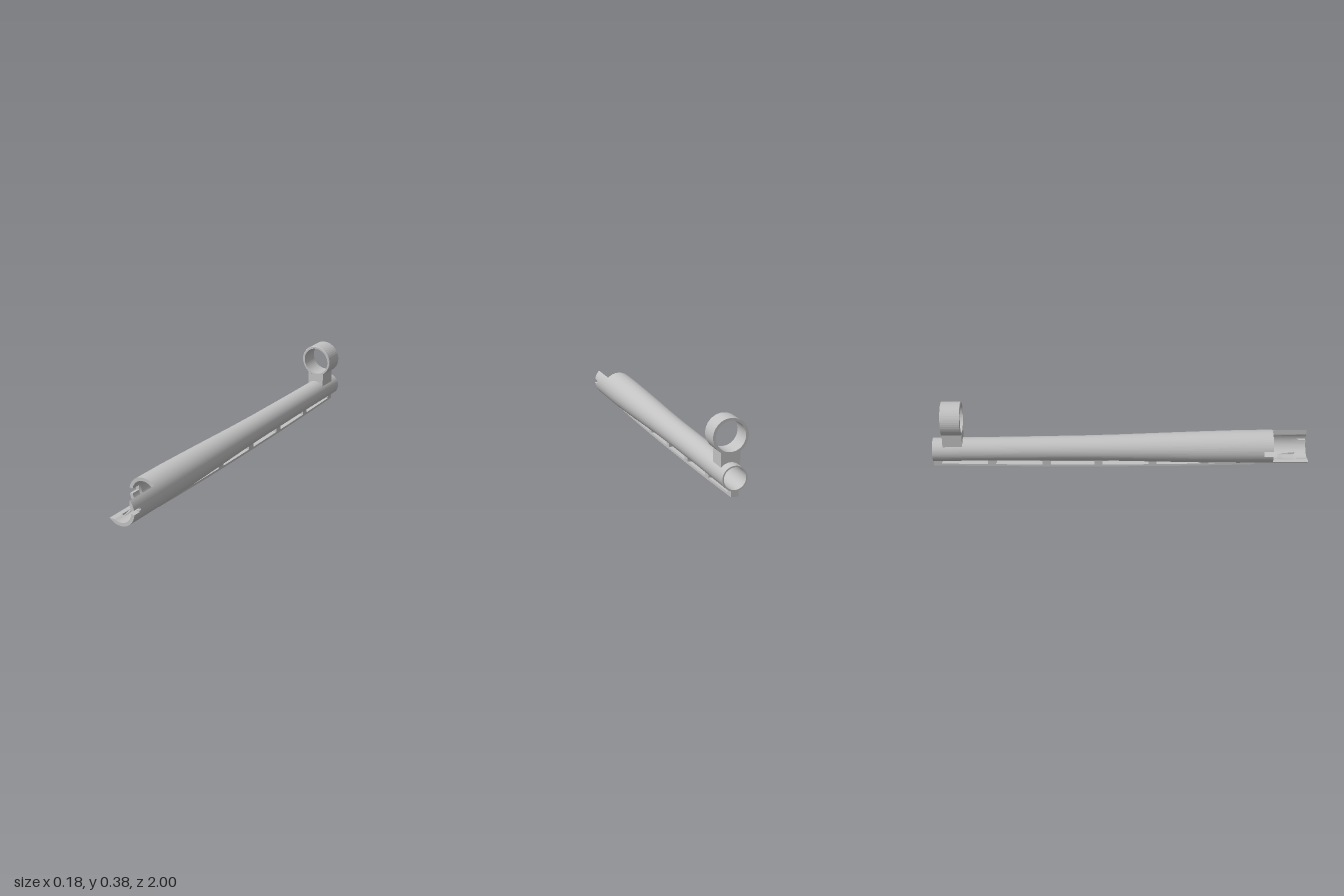
import * as THREE from 'three';
import { toCreasedNormals } from 'three/addons/utils/BufferGeometryUtils.js';

const AXIS_Y = 0.107; // height of the bore axis
const SEGS = 72; // 5 degrees per segment

// [z, outer radius, inner radius], rear to front
const STATIONS = [
  [-1, 0.0625, 0.0555], [-0.6, 0.0635, 0.0565], [-0.2, 0.067, 0.058], [0, 0.071, 0.059],
  [0.2, 0.077, 0.06], [0.42, 0.083, 0.061], [0.62, 0.0875, 0.062], [0.75, 0.0885, 0.063],
  [0.76, 0.0885, 0.07], [0.81, 0.0885, 0.07], [0.812, 0.0885, 0.07], [0.845, 0.0885, 0.07],
  [0.87, 0.0885, 0.07], [0.935, 0.0885, 0.07], [0.94, 0.0885, 0.07], [0.95, 0.0885, 0.07],
  [0.96, 0.0885, 0.07], [1, 0.0885, 0.07],
];

function outerRadius(z) {
  const i = Math.max(1, STATIONS.findIndex((s) => s[0] >= z));
  const [a, b] = [STATIONS[i - 1], STATIONS[i]];
  return THREE.MathUtils.lerp(a[1], b[1], (z - a[0]) / (b[0] - a[0]));
}

// Which wall cells exist: full tube, then a diagonal half trough, with a slot on each side
function hasWall(i, j) {
  if (i < 0 || i >= STATIONS.length - 1) return false;
  const deg = ((j + SEGS) % SEGS) * 5 + 2.5;
  const z = (STATIONS[i][0] + STATIONS[i + 1][0]) / 2;
  if (z > 0.81 && deg > 45 && deg < 225) return false;
  if (z > 0.76 && z < 0.81 && deg > 170 && deg < 190) return false;
  if (z > 0.95 && deg < 5) return false;
  if (z > 0.96 && (deg > 355 || deg < 10)) return false;
  return true;
}

// Inner radius: trough walls thin out along flats, floor has a sloped pocket
function innerRadius(i, j) {
  const [z, , r] = STATIONS[i];
  const deg = (j % SEGS) * 5;
  const off = Math.abs(deg - 270);
  if (z === 0.87 && off <= 20) return r + 0.004;
  if (z === 0.935 && off <= 25) return r + 0.01;
  if (z > 0.81 && deg <= 45) return Math.max(r, 0.062 / Math.cos(THREE.MathUtils.degToRad(deg)));
  if (z > 0.81 && deg >= 225 && off <= 45) {
    return deg < 250 ? Math.max(r, 0.062 / Math.cos(THREE.MathUtils.degToRad(off))) : r;
  }
  return r;
}

function barrelGeometry() {
  const pos = [];
  const point = (i, j, inner) => {
    const a = (j / SEGS) * Math.PI * 2;
    const r = inner ? innerRadius(i, j) : STATIONS[i][1];
    return [Math.cos(a) * r, Math.sin(a) * r + AXIS_Y, STATIONS[i][0]];
  };
  const quad = (a, b, c, d) => pos.push(...a, ...b, ...c, ...a, ...c, ...d);
  for (let i = 0; i < STATIONS.length - 1; i++) {
    for (let j = 0; j < SEGS; j++) {
      if (!hasWall(i, j)) continue;
      const O = (di, dj) => point(i + di, j + dj, false);
      const I = (di, dj) => point(i + di, j + dj, true);
      quad(O(0, 0), O(0, 1), O(1, 1), O(1, 0));
      quad(I(0, 0), I(1, 0), I(1, 1), I(0, 1));
      // close the wall wherever the neighbouring cell is missing
      if (!hasWall(i + 1, j)) quad(I(1, 0), O(1, 0), O(1, 1), I(1, 1));
      if (!hasWall(i - 1, j)) quad(I(0, 0), I(0, 1), O(0, 1), O(0, 0));
      if (!hasWall(i, j + 1)) quad(I(0, 1), I(1, 1), O(1, 1), O(0, 1));
      if (!hasWall(i, j - 1)) quad(I(0, 0), O(0, 0), O(1, 0), I(1, 0));
    }
  }
  const geo = new THREE.BufferGeometry();
  geo.setAttribute('position', new THREE.Float32BufferAttribute(pos, 3));
  return toCreasedNormals(geo, 0.06);
}

// Underside of the rail: a shallow sag
const railBottom = (z) => {
  const t = z > 0.2 ? (z - 0.2) / 0.52 : (0.2 - z) / 1.2;
  return (z > 0.2 ? 0.006 : 0.018) * t * t;
};

export function createModel() {
  const group = new THREE.Group();
  const metal = new THREE.MeshStandardMaterial({ color: 0xc2c2c2 });
  metal.name = 'light grey metal';
  const add = (name, geo) => {
    const mesh = new THREE.Mesh(geo, metal);
    mesh.name = name;
    group.add(mesh);
    return mesh;
  };

  add('barrelShroud', barrelGeometry());

  // Sight ring with a slightly softened front edge
  const h = 0.0525, ro = 0.089, ri = 0.0755, b = 0.003;
  const ringProfile = [
    [ri, -h], [ro, -h], [ro, h - b], [ro - b, h], [ri, h], [ri, -h],
  ].map(([x, y]) => new THREE.Vector2(x, y));
  const ring = new THREE.LatheGeometry(ringProfile, 48).rotateX(Math.PI / 2);
  add('sightRing', toCreasedNormals(ring, 0.06)).position.set(0, 0.294, -0.892);

  // Saddle between barrel and ring, curved at both ends
  const w = 0.048, rTop = 0.082, rLow = 0.061;
  const aTop = Math.acos(w / rTop), aLow = Math.acos(w / rLow);
  const saddle = new THREE.Shape();
  saddle.absarc(0, AXIS_Y, rLow, Math.PI - aLow, aLow, true);
  saddle.absarc(0, 0.294, rTop, -aTop, -Math.PI + aTop, true);
  saddle.closePath();
  const saddleGeo = new THREE.ExtrudeGeometry(saddle, { depth: 0.104, bevelEnabled: false, curveSegments: 16 });
  add('ringSaddle', toCreasedNormals(saddleGeo, 0.5)).position.z = -0.944;

  // Thin rail below the barrel
  const thick = 0.012, halfW = 0.019;
  const zs = Array.from({ length: 13 }, (_, i) => -1 + (1.72 * i) / 12);
  const railShape = new THREE.Shape([
    ...zs.map((z) => new THREE.Vector2(z, railBottom(z))),
    ...zs.slice().reverse().map((z) => new THREE.Vector2(z, railBottom(z) + thick)),
  ]);
  const rail = new THREE.ExtrudeGeometry(railShape, { depth: halfW * 2, bevelEnabled: false });
  rail.rotateY(-Math.PI / 2).translate(halfW, 0, 0);
  add('lowerRail', toCreasedNormals(rail, 0.5));

  // Posts joining rail and barrel
  for (const z of [0.45, 0.17, -0.12, -0.4, -0.69, -0.979]) {
    const y0 = railBottom(z) + 0.006;
    const y1 = AXIS_Y - outerRadius(z) + 0.005;
    add('railPost', new THREE.BoxGeometry(halfW * 2, y1 - y0, 0.042)).position.set(0, (y0 + y1) / 2, z);
  }
  return group;
}
